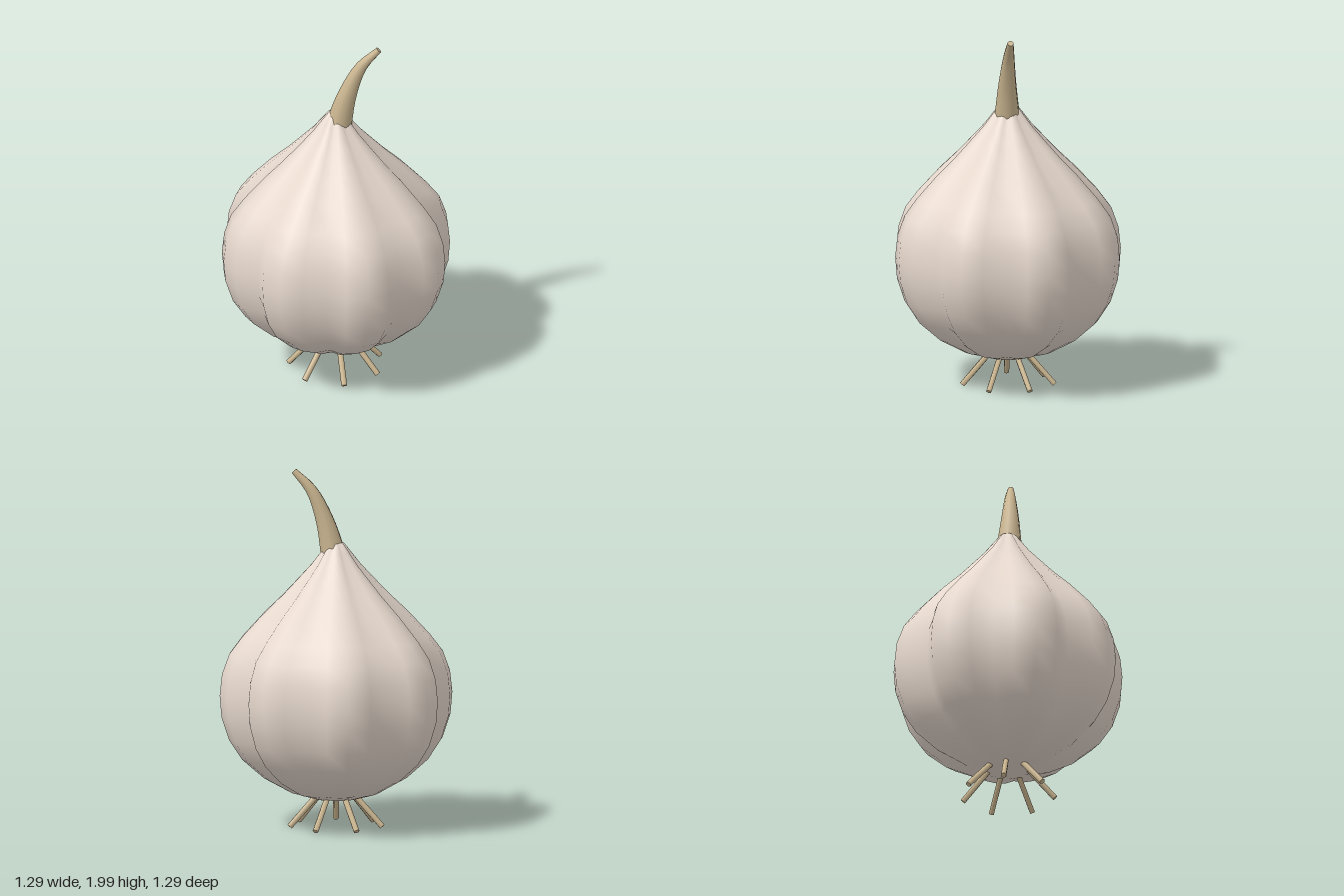
import * as THREE from 'three';
import { mergeVertices } from 'three/addons/utils/BufferGeometryUtils.js';

const skin = new THREE.MeshStandardMaterial({ name: 'papery skin', color: 0xe6d8cd });
const straw = new THREE.MeshStandardMaterial({ name: 'dry straw', color: 0xcdb892 });

const LOBES = 8;

function addMesh(parent, name, geometry, material) {
  const mesh = new THREE.Mesh(geometry, material);
  mesh.name = name;
  parent.add(mesh);
  return mesh;
}

// Lathed bulb whose rings are pinched into cloves
function bulbGeometry() {
  const profile = [
    [0, 0.16], [0.12, 0.168], [0.257, 0.206], [0.40, 0.285], [0.52, 0.39], [0.592, 0.5],
    [0.635, 0.63], [0.645, 0.75], [0.632, 0.87], [0.592, 0.98], [0.52, 1.075], [0.40, 1.205],
    [0.295, 1.305], [0.205, 1.4], [0.135, 1.475], [0.085, 1.54], [0.045, 1.59], [0, 1.6],
  ].map(([r, y]) => new THREE.Vector2(r, y));
  let geo = new THREE.LatheGeometry(profile, LOBES * 4);
  const pos = geo.attributes.position;
  for (let i = 0; i < pos.count; i++) {
    const x = pos.getX(i), z = pos.getZ(i);
    const wave = Math.sqrt(Math.abs(Math.cos(Math.atan2(x, z) * LOBES / 2)));
    const k = 0.862 + 0.138 * wave;
    pos.setXYZ(i, x * k, pos.getY(i), z * k);
  }
  // Weld the seam so the normals stay smooth all round
  geo.deleteAttribute('uv');
  geo.deleteAttribute('normal');
  geo = mergeVertices(geo, 1e-5);
  geo.computeVertexNormals();
  return geo;
}

// Tube along the curve, narrowed towards the tip
function stemGeometry(curve, rings, sides, radiusAt) {
  const geo = new THREE.TubeGeometry(curve, rings, 1, sides);
  const pos = geo.attributes.position;
  const p = new THREE.Vector3();
  for (let i = 0; i <= rings; i++) {
    const centre = curve.getPointAt(i / rings);
    for (let j = 0; j <= sides; j++) {
      const n = i * (sides + 1) + j;
      p.fromBufferAttribute(pos, n).sub(centre).multiplyScalar(radiusAt(i / rings)).add(centre);
      pos.setXYZ(n, p.x, p.y, p.z);
    }
  }
  return geo;
}

export function createModel() {
  const model = new THREE.Group();
  model.name = 'garlicBulb';

  addMesh(model, 'bulb', bulbGeometry(), skin);

  // Curved dry stem with a cut tip
  const stem = new THREE.Group();
  stem.name = 'stem';
  model.add(stem);
  const curve = new THREE.CatmullRomCurve3([
    new THREE.Vector3(0.012, 1.5, 0),
    new THREE.Vector3(0.06, 1.71, -0.022),
    new THREE.Vector3(0.125, 1.88, -0.06),
    new THREE.Vector3(0.21, 1.985, -0.108),
  ]);
  const radiusAt = (t) => 0.074 - 0.057 * t;
  addMesh(stem, 'stemShaft', stemGeometry(curve, 12, 10, radiusAt), straw);
  const tip = addMesh(stem, 'stemTip', new THREE.CircleGeometry(radiusAt(1), 10), straw);
  tip.position.copy(curve.getPointAt(1));
  tip.quaternion.setFromUnitVectors(new THREE.Vector3(0, 0, 1), curve.getTangentAt(1));

  // Ring of splayed roots under the bulb
  const roots = new THREE.Group();
  roots.name = 'roots';
  model.add(roots);
  const up = new THREE.Vector3(0, 1, 0);
  for (let i = 0; i < 7; i++) {
    const a = (i / 7) * Math.PI * 2;
    const at = (r, y) => new THREE.Vector3(Math.cos(a) * r, y, Math.sin(a) * r);
    const top = at(0.095, 0.2), end = at(0.262, 0.017);
    const along = top.clone().sub(end);
    const root = addMesh(roots, 'root' + (i + 1),
      new THREE.CylinderGeometry(0.016, 0.016, along.length(), 6), straw);
    root.position.copy(top).add(end).multiplyScalar(0.5);
    root.quaternion.setFromUnitVectors(up, along.normalize());
  }
  return model;
}
